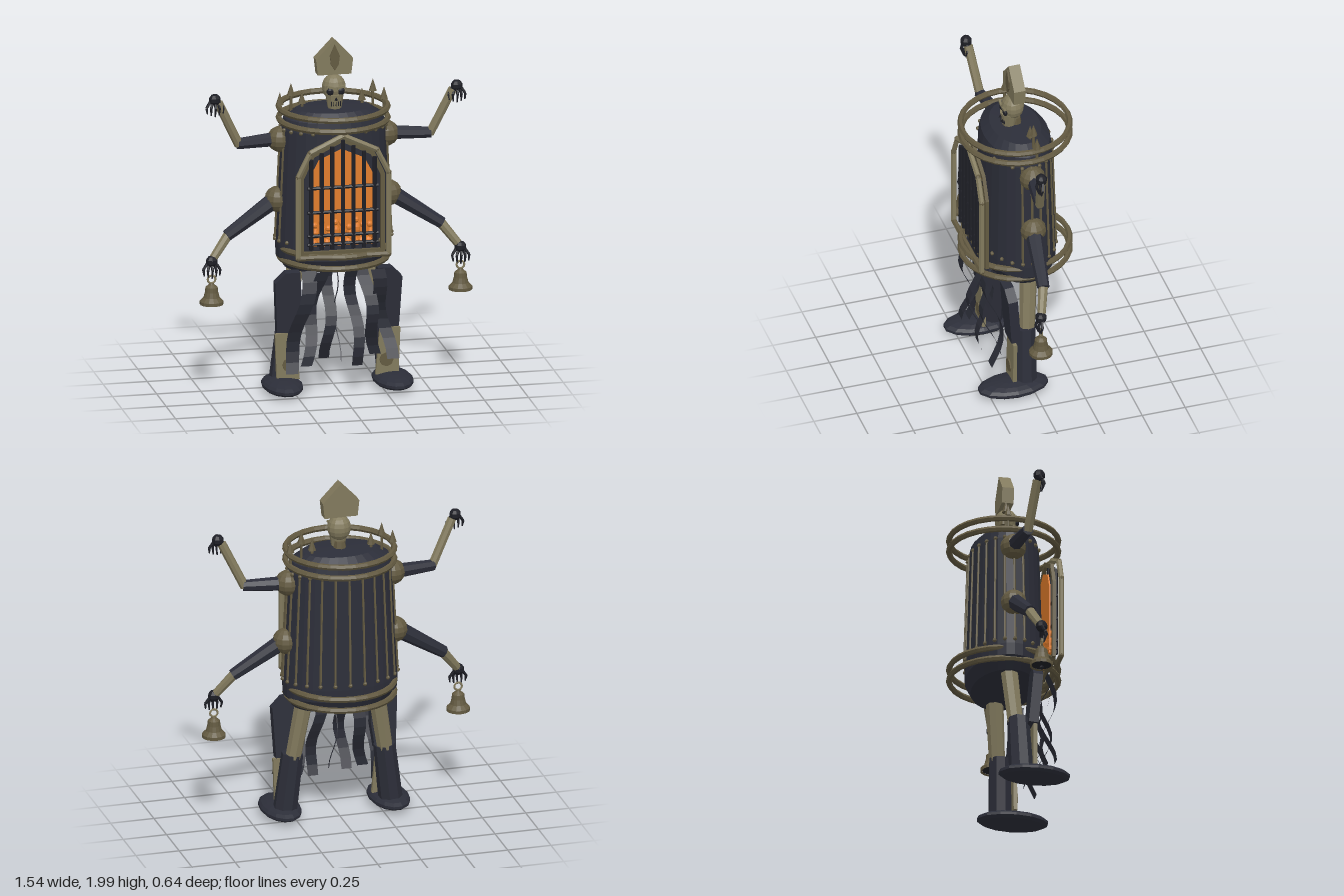
import * as THREE from 'three';

const mat = (name, color, extra = {}) => {
  const m = new THREE.MeshStandardMaterial({ color, flatShading: true, ...extra });
  m.name = name;
  return m;
};
const V = (x, y, z) => new THREE.Vector3(x, y, z);

export function createModel() {
  const root = new THREE.Group();
  const iron = mat('dark iron', 0x2c2e39);
  const cloth = mat('dark cloth', 0x2b2d37, { side: THREE.DoubleSide });
  const black = mat('black iron', 0x1e1f26);
  const bronze = mat('bronze', 0x635a41);
  const brass = mat('pale brass', 0x827a5d);
  const glow = mat('ember orange', 0xe27d2c);

  const add = (name, geo, m, x = 0, y = 0, z = 0, parent = root) => {
    const mesh = new THREE.Mesh(geo, m);
    mesh.name = name;
    mesh.position.set(x, y, z);
    parent.add(mesh);
    return mesh;
  };
  const group = (name) => {
    const g = new THREE.Group();
    g.name = name;
    root.add(g);
    return g;
  };
  // Tapered rod between two points
  const rod = (name, a, b, ra, rb, m, parent = root, sides = 8) => {
    const d = b.clone().sub(a);
    const mesh = add(name, new THREE.CylinderGeometry(rb, ra, d.length(), sides), m, 0, 0, 0, parent);
    mesh.position.copy(a).addScaledVector(d, 0.5);
    mesh.quaternion.setFromUnitVectors(V(0, 1, 0), d.normalize());
    return mesh;
  };
  const ball = (name, r, m, x, y, z, parent = root, seg = 10) =>
    add(name, new THREE.SphereGeometry(r, seg, Math.max(5, seg * 0.7 | 0)), m, x, y, z, parent);
  const lathe = (pts, seg) => new THREE.LatheGeometry(pts.map(p => new THREE.Vector2(...p)), seg);
  const plate = (pts, depth, holes) => {
    const s = new THREE.Shape(pts.map(p => new THREE.Vector2(...p)));
    if (holes) s.holes.push(new THREE.Path(holes.map(p => new THREE.Vector2(...p))));
    return new THREE.ExtrudeGeometry(s, { depth, bevelEnabled: false });
  };

  // Oval boiler body with domed lid
  const ZS = 0.65;
  add('body', lathe([[0, 0.7], [0.275, 0.7], [0.325, 0.77], [0.328, 0.84], [0.297, 1.5],
    [0.28, 1.56], [0.21, 1.605], [0, 1.615]], 28), iron).scale.z = ZS;

  // Round hoops
  for (const y of [0.755, 0.82, 1.545, 1.61])
    add('hoop', new THREE.TorusGeometry(0.303, 0.017, 6, 28), bronze, 0, y, 0).rotation.x = Math.PI / 2;

  // Ribs and rivets around the shell
  const shell = group('shellTrim');
  const onShell = (a, r, y) => V(Math.sin(a) * r, y, Math.cos(a) * r * ZS);
  for (let i = 2; i <= 22; i++) {
    const a = i * Math.PI / 12;
    for (const [r, y] of [[0.33, 0.865], [0.299, 1.5]]) {
      const p = onShell(a, r, y);
      ball('rivet', 0.012, bronze, p.x, p.y, p.z, shell, 6);
    }
    if (i >= 5 && i <= 19)
      rod('rib', onShell(a, 0.329, 0.87), onShell(a, 0.299, 1.5), 0.007, 0.007, bronze, shell, 5);
  }

  // Spear finials on the lid
  for (const s of [-1, 1]) for (const [x, top] of [[0.17, 1.695], [0.232, 1.745], [0.295, 1.695]]) {
    add('finial', lathe([[0.008, 1.54], [0.008, top - 0.075], [0.023, top - 0.07],
      [0.018, top - 0.055], [0, top]], 6), bronze, s * x, 0, -0.033);
  }

  // Furnace gate
  const gate = group('gate');
  const arch = (w, base, spring, peak) => [[-w, base], [w, base], [w, spring],
    [w * 0.74, spring + (peak - spring) * 0.6], [0, peak],
    [-w * 0.74, spring + (peak - spring) * 0.6], [-w, spring]];
  add('glowPanel', plate(arch(0.175, 0.87, 1.28, 1.425), 0.008), glow, 0, 0, 0.222, gate);
  add('innerArch', plate(arch(0.24, 0.82, 1.28, 1.5), 0.02, arch(0.217, 0.845, 1.27, 1.47)), bronze, 0, 0, 0.228, gate);
  const edge = arch(0.256, 0.82, 1.29, 1.515).map(p => V(p[0], p[1], 0.275));
  edge.forEach((p, i) => {
    rod('outerArch', p, edge[(i + 1) % edge.length], 0.016, 0.016, i ? brass : bronze, gate, 6);
    ball('archJoint', 0.017, bronze, p.x, p.y, p.z, gate, 6);
  });
  for (let i = -3; i <= 3; i++)
    rod('gateBar', V(i * 0.06, 0.86, 0.258), V(i * 0.06, 1.485 - Math.abs(i) * 0.035, 0.258), 0.0125, 0.0125, black, gate, 6);
  for (const y of [0.89, 0.94, 1.075, 1.215])
    rod('crossBar', V(-0.2, y, 0.258), V(0.2, y, 0.258), 0.01, 0.01, black, gate, 6);

  // Ember heap behind the bars
  for (let i = 0; i < 9; i++) {
    const x = -0.155 + i * 0.039, y = 0.975 + 0.022 * Math.sin(i * 2.3);
    ball('ember', 0.018, glow, x, y + 0.02, 0.234, gate, 8);
    ball('emberBody', 0.024, glow, x + 0.006, y - 0.03, 0.234, gate, 8).scale.set(0.8, 1.3, 0.7);
    ball('emberBase', 0.022, glow, x - 0.006, 0.895, 0.236, gate, 8);
  }

  // Skull
  const skull = group('skull');
  ball('cranium', 0.067, brass, 0, 1.725, 0.015, skull, 14).scale.set(1, 1.1, 0.95);
  add('jaw', new THREE.CylinderGeometry(0.052, 0.038, 0.085, 10), brass, 0, 1.65, 0.035, skull);
  add('neck', new THREE.CylinderGeometry(0.03, 0.04, 0.06, 8), bronze, 0, 1.62, 0, skull);
  for (const s of [-1, 1]) {
    ball('eyeSocket', 0.022, black, s * 0.03, 1.712, 0.068, skull, 8).scale.z = 0.6;
    add('brow', new THREE.BoxGeometry(0.045, 0.012, 0.014), brass, s * 0.03, 1.737, 0.075, skull).rotation.z = s * 0.25;
  }
  add('nose', new THREE.ConeGeometry(0.012, 0.028, 3), black, 0, 1.677, 0.083, skull);
  for (let i = -2; i <= 2; i++)
    add('toothGap', new THREE.BoxGeometry(0.004, 0.026, 0.008), black, i * 0.013, 1.642, 0.08 - Math.abs(i) * 0.004, skull);

  // Tall pointed hat with a leaf crest
  add('hat', plate([[-0.095, 1.8], [0.095, 1.8], [0.105, 1.89], [0, 2], [-0.105, 1.89]], 0.066), brass, 0, 0, -0.028);
  add('hatCrest', plate([[0, 1.825], [0.022, 1.86], [0.028, 1.91], [0, 1.975], [-0.028, 1.91], [-0.022, 1.86]], 0.009), bronze, 0, 0, 0.038);

  // Clawed hand hanging from a wrist point
  const hand = (s, x, y, z, parent) => {
    ball('palm', 0.034, black, s * x, y, z, parent, 8);
    for (let i = -2; i <= 2; i++) {
      const a = V(s * x + i * 0.012, y - 0.01, z + 0.012 - Math.abs(i) * 0.006);
      const b = V(s * x + i * 0.024, y - 0.045, z + 0.03 - Math.abs(i) * 0.012);
      const c = V(s * x + i * 0.022, y - 0.095 + Math.abs(i) * 0.008, z + 0.014);
      rod('finger', a, b, 0.009, 0.008, black, parent, 5);
      rod('fingerTip', b, c, 0.008, 0.004, black, parent, 5);
    }
  };

  for (const s of [-1, 1]) {
    const side = s > 0 ? 'left' : 'right';

    // Raised arm
    const up = group(side + 'UpperArm');
    ball('shoulder', 0.073, bronze, s * 0.3, 1.435, -0.005, up, 12);
    rod('armSleeve', V(s * 0.34, 1.435, -0.005), V(s * 0.55, 1.432, 0.03), 0.041, 0.032, iron, up);
    rod('forearm', V(s * 0.54, 1.425, 0.03), V(s * 0.665, 1.685, 0.06), 0.026, 0.026, brass, up);
    hand(s, 0.685, 1.705, 0.066, up);

    // Lowered arm with a hand bell
    const low = group(side + 'LowerArm');
    ball('shoulder', 0.073, bronze, s * 0.315, 1.09, -0.005, low, 12);
    rod('armSleeve', V(s * 0.35, 1.075, 0), V(s * 0.61, 0.905, 0.03), 0.048, 0.034, iron, low);
    rod('forearm', V(s * 0.605, 0.905, 0.03), V(s * 0.695, 0.79, 0.068), 0.028, 0.024, brass, low);
    hand(s, 0.705, 0.775, 0.075, low);
    add('bellRing', new THREE.TorusGeometry(0.022, 0.006, 6, 12), brass, s * 0.705, 0.672, 0.075, low);
    const bell = lathe([[0.055, 0.535], [0.066, 0.53], [0.066, 0.548], [0.045, 0.57], [0.037, 0.6],
      [0.034, 0.628], [0.016, 0.643], [0.012, 0.652], [0, 0.655]], 14);
    add('bell', bell, bronze, s * 0.705, 0, 0.075, low);
    add('bellInside', new THREE.CircleGeometry(0.056, 14), black, s * 0.705, 0.537, 0.075, low).rotation.x = Math.PI / 2;
    ball('clapper', 0.012, black, s * 0.705, 0.523, 0.075, low, 6);

    // Leg with guards and an oval foot
    const leg = group(side + 'Leg');
    rod('thigh', V(s * 0.21, 0.72, -0.01), V(s * 0.265, 0.38, 0.015), 0.05, 0.045, brass, leg);
    rod('shin', V(s * 0.265, 0.4, 0.03), V(s * 0.305, 0.06, 0.04), 0.062, 0.068, iron, leg);
    const guard = plate([[0.36, 0.65], [0.3, 0.71], [0.22, 0.71], [0.205, 0.5], [0.225, 0.355], [0.345, 0.36]]
      .map(p => [s * p[0], p[1]]), 0.055);
    guard.translate(0, -0.36, 0);
    add('thighGuard', guard, iron, 0, 0.36, 0.075, leg).rotation.x = 0.08;
    add('shinGuard', plate([[0.24, 0.355], [0.355, 0.345], [0.345, 0.08], [0.215, 0.08]]
      .map(p => [s * p[0], p[1]]), 0.022), brass, 0, 0, 0.1, leg);
    add('shinBoss', new THREE.CylinderGeometry(0.04, 0.04, 0.008, 8), bronze, s * 0.275, 0.165, 0.125, leg).rotation.x = Math.PI / 2;
    ball('foot', 1, iron, s * 0.313, 0.05, 0.112, leg, 14).scale.set(0.113, 0.043, 0.205);
  }

  // Wavy cloth strips: top x, bottom x, bottom y, width, phase
  const strips = [[-0.18, -0.285, 0.13, 0.085, 0], [-0.12, -0.2, 0.19, 0.075, 2], [-0.06, -0.085, 0.21, 0.07, 4],
    [-0.04, -0.01, 0.2, 0.006, 1], [0.06, 0.1, 0.17, 0.07, 3], [0.13, 0.2, 0.21, 0.075, 5], [0.19, 0.285, 0.2, 0.08, 1]];
  const skirt = group('clothStrips');
  for (const [xt, xb, yb, w, ph] of strips) {
    const geo = new THREE.PlaneGeometry(w, 1, 1, 10), p = geo.attributes.position;
    for (let i = 0; i < p.count; i++) {
      const t = 0.5 - p.getY(i);
      p.setXYZ(i, p.getX(i) * (1 - 0.15 * t) + xt + (xb - xt) * t + 0.012 * Math.sin(t * 8 + ph),
        0.725 + (yb - 0.725) * t, 0.205 + 0.05 * Math.sin(t * 6 + ph));
    }
    geo.computeVertexNormals();
    add('clothStrip', geo, cloth, 0, 0, 0, skirt);
  }
  return root;
}
